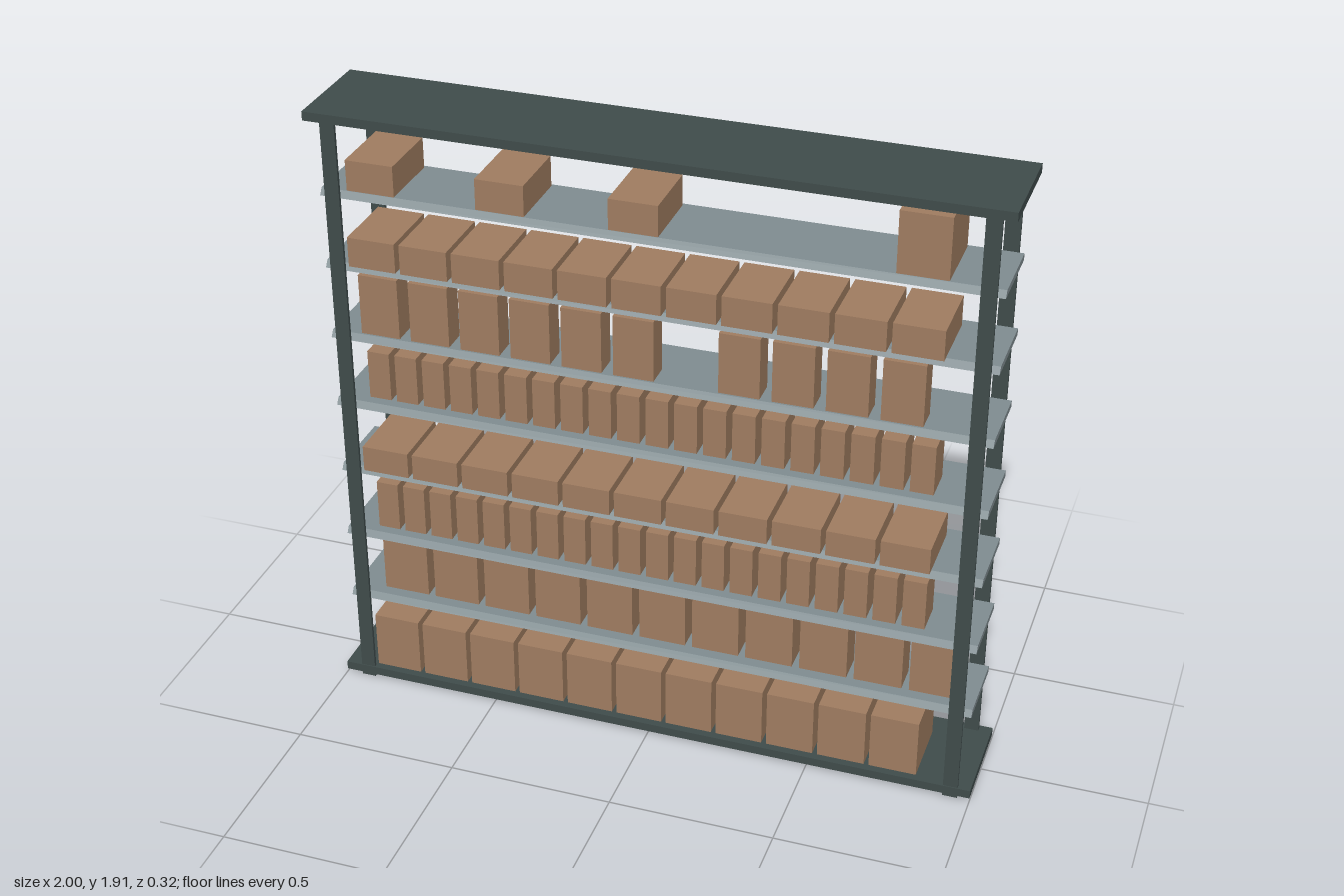
import * as THREE from 'three';

const mat = (name, color, side = THREE.FrontSide) => {
  const m = new THREE.MeshStandardMaterial({ color, side });
  m.name = name;
  return m;
};

export function createModel() {
  const frameMat = mat('dark frame', 0x3f4b4a);
  const shelfMat = mat('grey shelf', 0x7f8c90);
  const cartonMat = mat('brown cardboard', 0x9f7c60);

  const root = new THREE.Group();
  root.name = 'shelvingRack';

  // Box given by its min and max corners
  const block = (parent, name, material, x0, x1, y0, y1, z0, z1) => {
    const mesh = new THREE.Mesh(new THREE.BoxGeometry(x1 - x0, y1 - y0, z1 - z0), material);
    mesh.position.set((x0 + x1) / 2, (y0 + y1) / 2, (z0 + z1) / 2);
    mesh.name = name;
    parent.add(mesh);
  };

  // Base and top plates
  block(root, 'basePlate', frameMat, -1, 1, 0.01, 0.037, -0.158, 0.158);
  block(root, 'topPlate', frameMat, -1, 1, 1.883, 1.91, -0.158, 0.158);

  // Flat corner posts
  for (const [x0, x1] of [[-0.95, -0.906], [0.918, 0.962]]) {
    block(root, 'frontPost', frameMat, x0, x1, 0, 1.89, 0.145, 0.155);
    block(root, 'backPost', frameMat, x0, x1, 0, 1.89, -0.142, -0.131);
  }

  // Shelves with a bevelled front edge, extruded along x
  const profile = new THREE.Shape();
  profile.moveTo(0.112, -0.02);
  profile.lineTo(0.112, 0);
  profile.lineTo(-0.112, 0);
  profile.lineTo(-0.125, -0.02);
  profile.closePath();
  const shelfGeo = new THREE.ExtrudeGeometry(profile, { depth: 1.96, bevelEnabled: false });
  shelfGeo.rotateY(Math.PI / 2).translate(-0.98, 0, 0);
  const shelfY = (i) => 0.297 + (i - 1) * 0.2278;
  for (let i = 1; i <= 7; i++) {
    const shelf = new THREE.Mesh(shelfGeo, shelfMat);
    shelf.position.y = shelfY(i);
    shelf.name = 'shelf';
    root.add(shelf);
  }

  // Rows of cartons: first left edge, pitch, count, width, y range, z range, empty slots
  const wide = { x: -0.9, pitch: 0.1588, n: 11, w: 0.144, z: [-0.075, 0.138] };
  const small = { x: -0.888, pitch: 0.0862, n: 20, w: 0.068, z: [-0.02, 0.086] };
  const rows = [
    { ...wide, y: [0.037, 0.225] },
    { x: -0.883, pitch: 0.1666, n: 11, w: 0.144, z: [-0.01, 0.081], y: [0.297, 0.504] },
    { ...small, y: [shelfY(2), 0.685] },
    { ...wide, y: [shelfY(3), 0.837] },
    { ...small, y: [shelfY(4), 1.137] },
    { x: -0.888, pitch: 0.155, n: 11, w: 0.12, z: [0.035, 0.111], y: [shelfY(5), 1.4], skip: [6] },
    { ...wide, y: [shelfY(6), 1.53] },
    { x: -0.9, pitch: 0.3895, n: 3, w: 0.144, z: [-0.096, 0.116], y: [shelfY(7), 1.76] },
    { x: 0.684, pitch: 0, n: 1, w: 0.144, z: [-0.096, 0.116], y: [shelfY(7), 1.85] },
  ];
  rows.forEach((r) => {
    const group = new THREE.Group();
    group.name = 'cartonRow';
    for (let i = 0; i < r.n; i++) {
      if (r.skip?.includes(i)) continue;
      const x = r.x + i * r.pitch;
      block(group, 'carton', cartonMat, x, x + r.w, r.y[0] + 0.003, r.y[1], ...r.z);
    }
    root.add(group);
  });

  return root;
}
